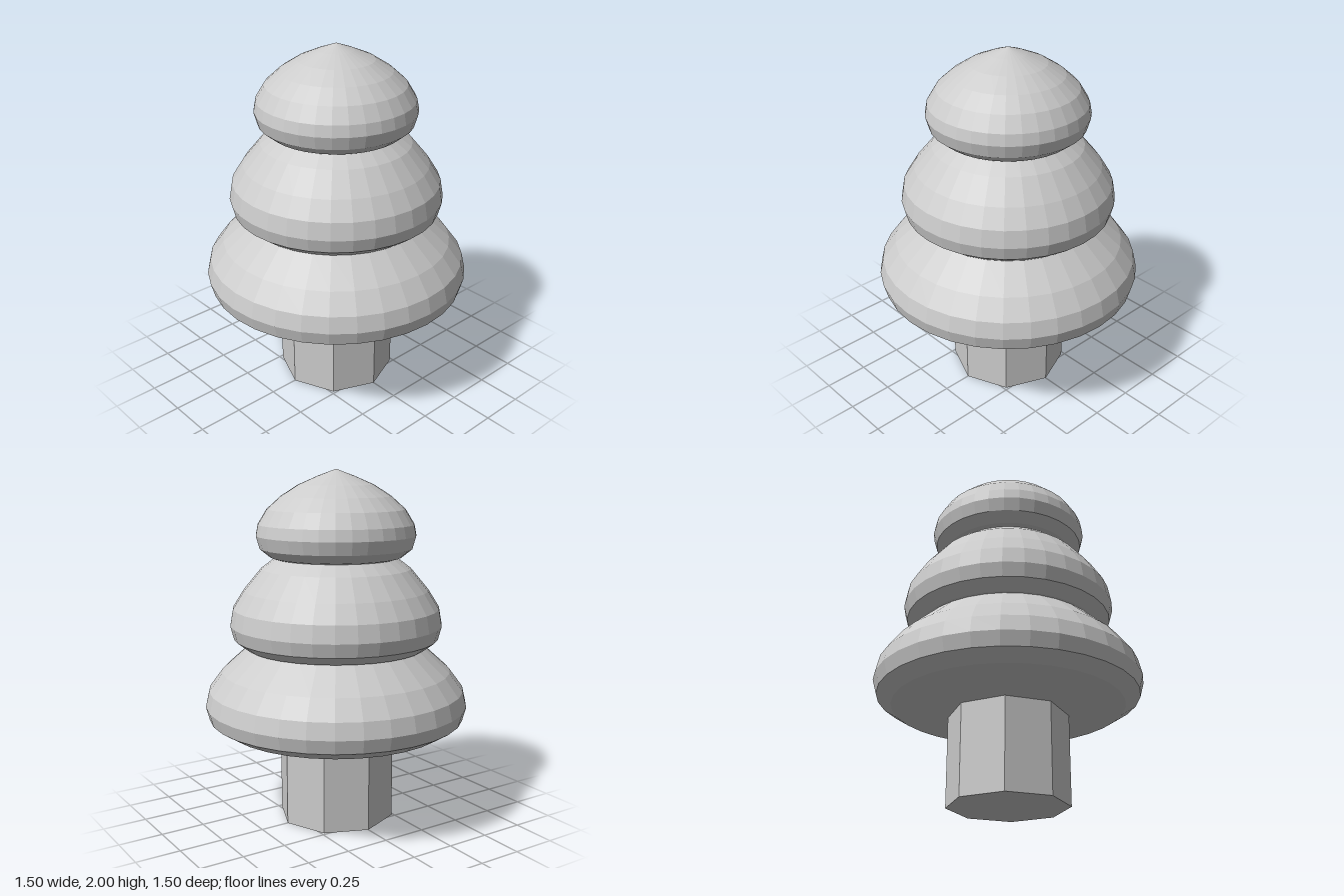
import * as THREE from 'three';

export function createModel() {
  const group = new THREE.Group();
  const material = new THREE.MeshStandardMaterial({ color: 0xcccccc, flatShading: true });

  // Eight-sided trunk, running slightly up into the lowest tier
  const trunk = new THREE.Mesh(new THREE.CylinderGeometry(0.333, 0.333, 0.52, 8), material);
  trunk.name = 'trunk';
  trunk.position.y = 0.26;
  group.add(trunk);

  // Rounded foliage tiers: [radius, height] profiles from underside to tip
  const tiers = {
    lowerFoliage: [
      [0, 0.5], [0.34, 0.503], [0.51, 0.52], [0.645, 0.55], [0.728, 0.603], [0.749, 0.68],
      [0.728, 0.77], [0.65, 0.875], [0.5, 1.01], [0.34, 1.11], [0, 1.2],
    ],
    middleFoliage: [
      [0, 1.0], [0.28, 1.0], [0.42, 1.003], [0.513, 1.013], [0.58, 1.064], [0.6, 1.14],
      [0.583, 1.235], [0.52, 1.335], [0.42, 1.455], [0.3, 1.545], [0, 1.65],
    ],
    upperFoliage: [
      [0, 1.497], [0.22, 1.497], [0.31, 1.502], [0.37, 1.52], [0.428, 1.567], [0.448, 1.638],
      [0.436, 1.7], [0.386, 1.782], [0.307, 1.853], [0.21, 1.915], [0.1, 1.963], [0, 2],
    ],
  };
  for (const [name, profile] of Object.entries(tiers)) {
    const points = profile.map(([r, y]) => new THREE.Vector2(r, y));
    const tier = new THREE.Mesh(new THREE.LatheGeometry(points, 32), material);
    tier.name = name;
    group.add(tier);
  }
  return group;
}
